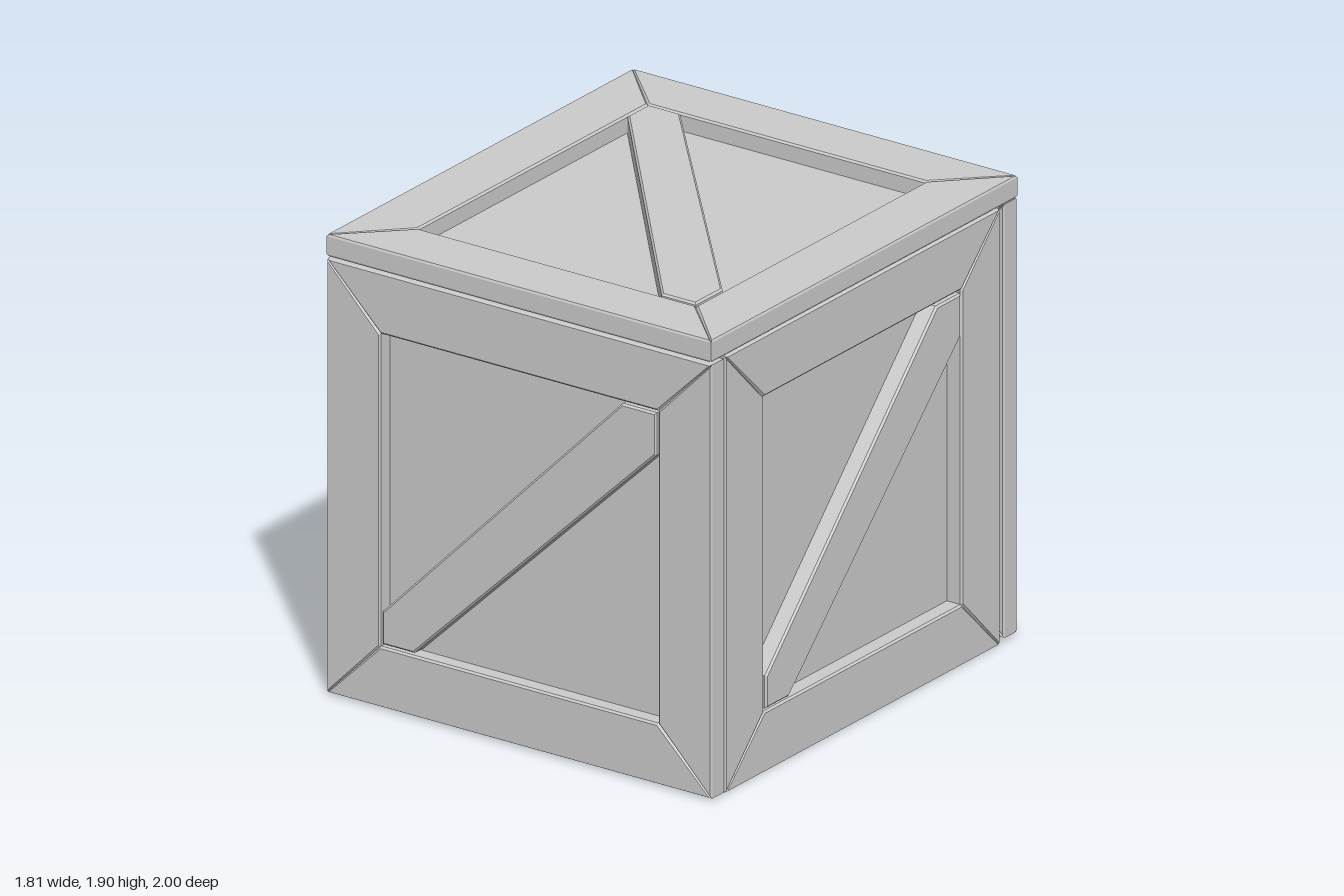
import * as THREE from 'three';

const material = new THREE.MeshStandardMaterial({ color: 0xcccccc, flatShading: true });
const THICK = 0.09, BEVEL = 0.008, BEAM = 0.25;

// Plank cut to a polygon, with chamfered edges; its outer face lies at z = top
function plank(name, points, top = 0) {
  const shape = new THREE.Shape(points.map(([x, y]) => new THREE.Vector2(x, y)));
  const geometry = new THREE.ExtrudeGeometry(shape, {
    depth: THICK - 2 * BEVEL, bevelEnabled: true, bevelSegments: 1,
    bevelThickness: BEVEL, bevelSize: BEVEL, bevelOffset: -BEVEL,
  });
  geometry.translate(0, 0, top - THICK + BEVEL);
  const mesh = new THREE.Mesh(geometry, material);
  mesh.name = name;
  return mesh;
}

// One crate side facing +z: four mitred beams and an optional diagonal brace
function crateSide({ name, w, h, position, rotation = [0, 0, 0], brace = 0, proud = 0 }) {
  const side = new THREE.Group();
  side.name = name;
  const iw = w - BEAM, ih = h - BEAM;
  for (const s of [-1, 1]) {
    side.add(plank(s > 0 ? 'upperBeam' : 'lowerBeam',
      [[-w, s * h], [w, s * h], [iw, s * ih], [-iw, s * ih]]));
    side.add(plank(s > 0 ? 'rightBeam' : 'leftBeam',
      [[s * w, -h], [s * w, h], [s * iw, ih], [s * iw, -ih]]));
  }
  if (brace) {
    // brace = 1 rises to the right, -1 falls to the right
    const bw = iw - 0.008, bh = ih - 0.01;
    const points = [
      [-bw, -bh], [-bw + 0.15, -bh], [bw, bh - 0.175],
      [bw, bh], [bw - 0.16, bh], [-bw, -bh + 0.135],
    ];
    side.add(plank('diagonalBrace', points.map(([x, y]) => [x, y * brace]), proud));
  }
  side.position.set(...position);
  side.rotation.set(...rotation);
  return side;
}

export function createModel() {
  const crate = new THREE.Group();
  crate.name = 'crate';

  // Inner box whose faces are the recessed panels
  const core = new THREE.Mesh(new THREE.BoxGeometry(1.66, 1.76, 1.87), material);
  core.name = 'innerPanels';
  core.position.y = 0.95;
  crate.add(core);

  const q = Math.PI / 2;
  const sides = [
    { name: 'frontSide', w: 0.9, h: 0.895, position: [0, 0.907, 1], brace: 1 },
    { name: 'backSide', w: 0.9, h: 0.895, position: [0, 0.917, -1], rotation: [0, 2 * q, 0] },
    { name: 'leftSide', w: 0.895, h: 0.9, position: [0.9, 0.904, 0.008], rotation: [0, q, 0], brace: 1, proud: 0.004 },
    { name: 'rightSide', w: 0.895, h: 0.9, position: [-0.9, 0.904, 0.008], rotation: [0, -q, 0], brace: 1, proud: 0.004 },
    { name: 'lid', w: 0.9, h: 1, position: [0, 1.903, 0], rotation: [-q, 0, 0], brace: -1, proud: 0.004 },
    { name: 'bottomSide', w: 0.805, h: 0.9, position: [0, 0.01, 0], rotation: [q, 0, 0], brace: -1, proud: 0.004 },
  ];
  for (const side of sides) crate.add(crateSide(side));
  return crate;
}
